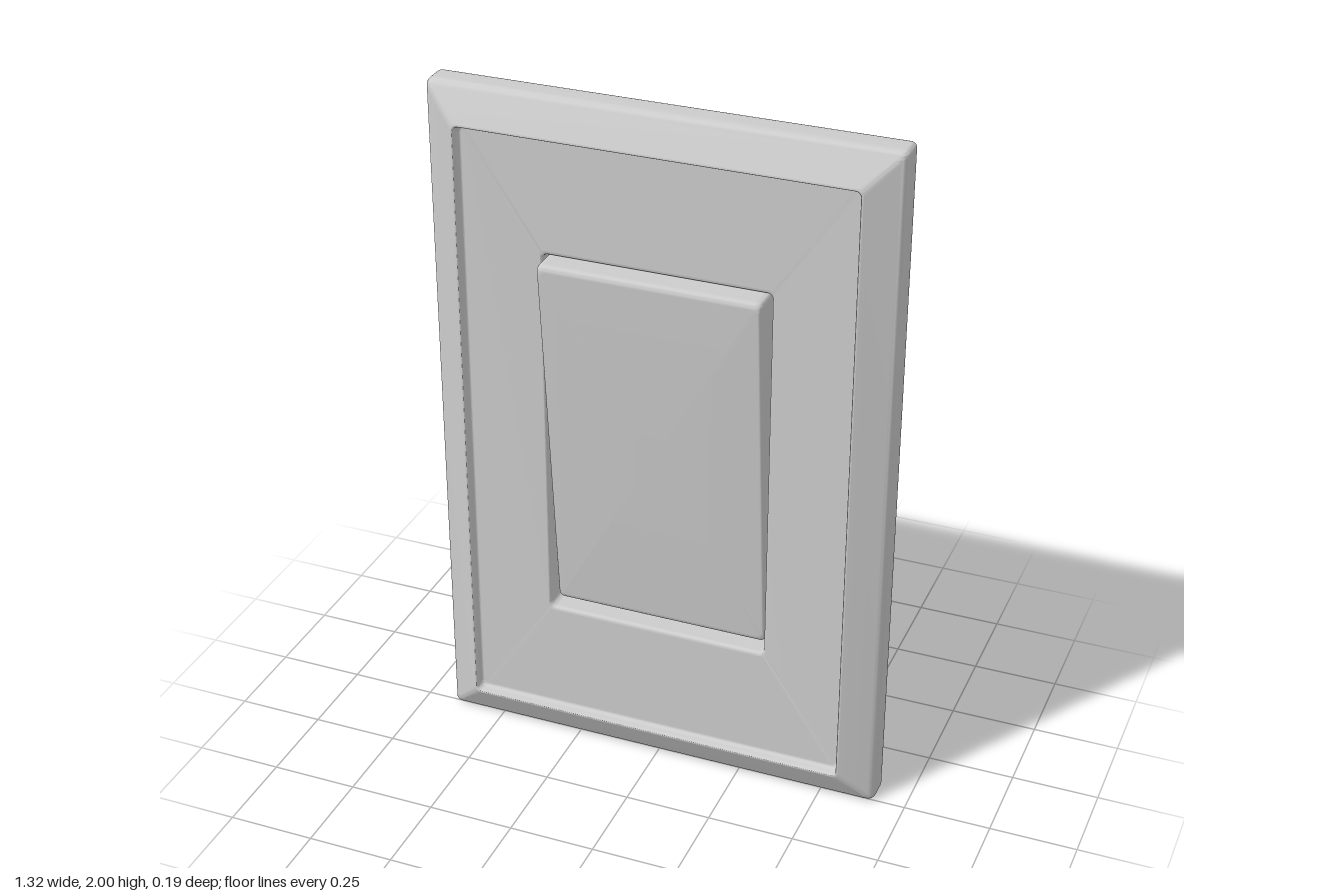
import * as THREE from 'three';
import { toCreasedNormals } from 'three/addons/utils/BufferGeometryUtils.js';

const STEPS = 5;      // segments per rounded edge
const HOLD = 0.003;   // support loops that keep flat faces flat

// Rounds the corners of a profile of [halfWidth, halfHeight, z, rounding] points
function roundProfile(points, closed) {
  const n = points.length;
  const v = points.map(([w, h, z]) => new THREE.Vector3(w, h, z));
  const out = [];
  for (let i = 0; i < n; i++) {
    const t = points[i][3];
    if (!t || (!closed && (i === 0 || i === n - 1))) {
      out.push(v[i]);
      continue;
    }
    const toPrev = v[(i + n - 1) % n].clone().sub(v[i]).normalize();
    const toNext = v[(i + 1) % n].clone().sub(v[i]).normalize();
    const along = (dir, d) => v[i].clone().addScaledVector(dir, d);
    const curve = new THREE.QuadraticBezierCurve3(along(toPrev, t), v[i], along(toNext, t));
    out.push(along(toPrev, t + HOLD), ...curve.getPoints(STEPS), along(toNext, t + HOLD));
  }
  return out;
}

// One rounded rectangle, counter-clockwise seen from the front
function ring(w, h, radius) {
  const r = Math.min(radius, w, h);
  const pts = [];
  [[1, 1], [-1, 1], [-1, -1], [1, -1]].forEach(([sx, sy], q) => {
    const cx = sx * (w - r), cy = sy * (h - r);
    const hold = Math.min(HOLD, (w - r) / 2, (h - r) / 2);
    const a0 = q * Math.PI / 2;
    const arc = [];
    for (let k = 0; k <= STEPS; k++) {
      const a = a0 + k / STEPS * Math.PI / 2;
      arc.push([cx + r * Math.cos(a), cy + r * Math.sin(a)]);
    }
    const first = arc[0], last = arc[STEPS];
    pts.push([first[0] + Math.sin(a0) * hold, first[1] - Math.cos(a0) * hold]);
    pts.push(...arc);
    pts.push([last[0] + Math.cos(a0) * -hold, last[1] - Math.sin(a0) * hold]);
  });
  return pts;
}

// Skins a stack of rounded rectangles; deform may move each vertex
function loft(points, closed, radius, deform) {
  const profile = roundProfile(points, closed);
  const pos = [], index = [];
  let m = 0;
  for (const p of profile) {
    const pts = ring(p.x, p.y, radius);
    m = pts.length;
    for (const [x, y] of pts) pos.push(x, y, deform ? deform(y, p.z) : p.z);
  }
  const n = profile.length;
  for (let i = 0; i < (closed ? n : n - 1); i++) {
    const i2 = (i + 1) % n;
    for (let j = 0; j < m; j++) {
      const j2 = (j + 1) % m;
      const a = i * m + j, b = i * m + j2, c = i2 * m + j2, d = i2 * m + j;
      index.push(a, b, c, a, c, d);
    }
  }
  const g = new THREE.BufferGeometry();
  g.setAttribute('position', new THREE.Float32BufferAttribute(pos, 3));
  g.setIndex(index);
  return toCreasedNormals(g, 0.6);
}

export function createModel() {
  const group = new THREE.Group();
  const material = new THREE.MeshStandardMaterial({ color: 0xcccccc });

  const add = (name, geometry, y) => {
    const mesh = new THREE.Mesh(geometry, material);
    mesh.name = name;
    mesh.position.y = y;
    group.add(mesh);
  };

  // Wall plate: bevelled rim, recessed panel and a rectangular opening
  add('wallPlate', loft([
    [0.325, 0.56, -0.08, 0],
    [0.66, 1.0, -0.08, 0.02],
    [0.66, 1.0, 0.008, 0.025],
    [0.56, 0.9, 0.063, 0.008],
    [0.555, 0.895, 0.03, 0.01],
    [0.325, 0.56, 0.03, 0.012],
  ], true, 0.015), 1);

  // Rocker paddle: flat back, front face leaning out at the top
  const lean = (y, z) => (z > -0.06 ? z + y * 0.09 : z);
  add('rockerPaddle', loft([
    [0, 0, -0.095, 0],
    [0.316, 0.553, -0.095, 0.016],
    [0.316, 0.553, 0.046, 0.022],
    [0, 0, 0.046, 0],
  ], false, 0.015, lean), 1.005);

  return group;
}
